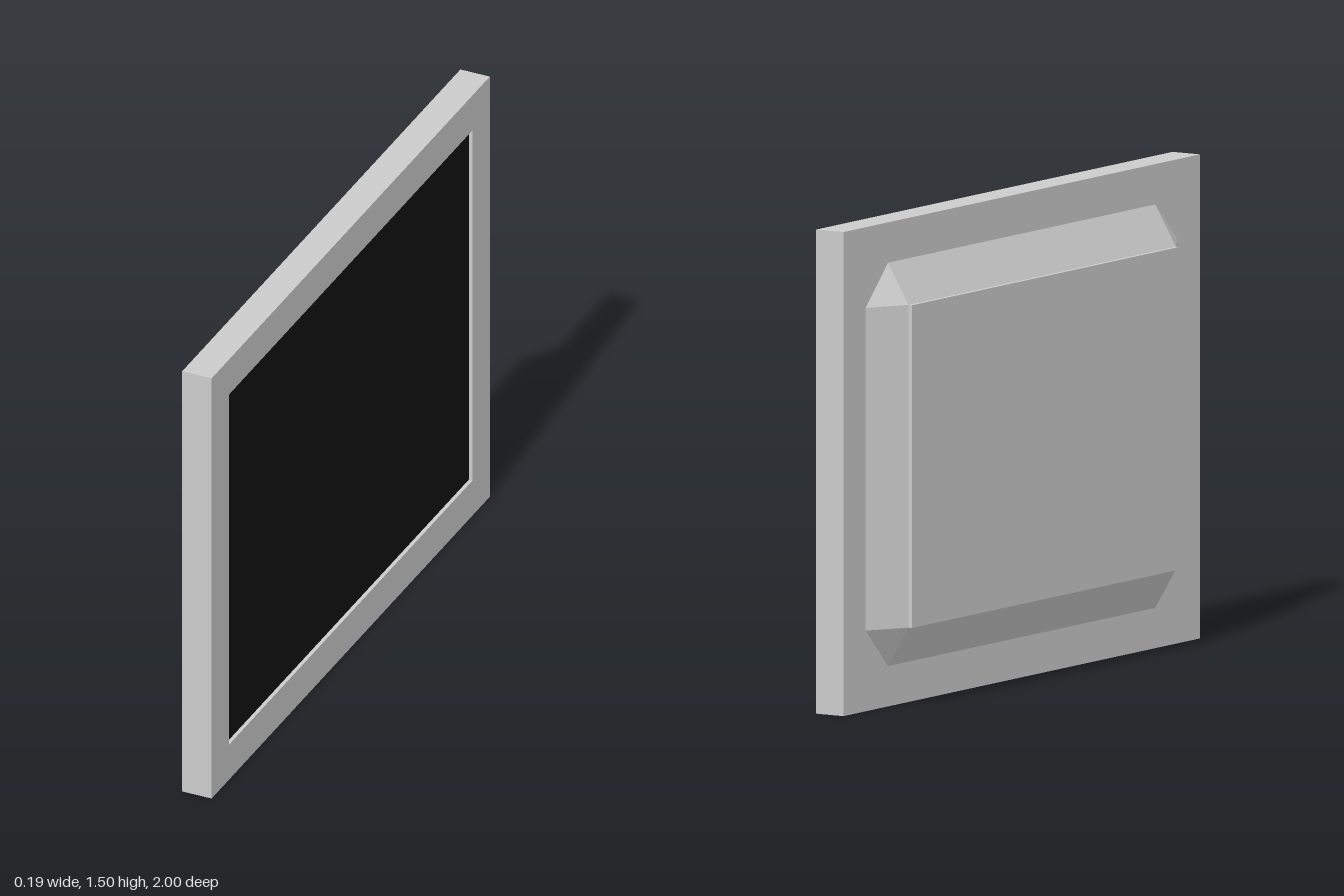
import * as THREE from 'three';
import { ConvexGeometry } from 'three/addons/geometries/ConvexGeometry.js';

// x levels, from the rear plate to the front of the frame
const REAR = -0.09375, PLATE = -0.08125, BACK = -0.00625, PANEL = 0.07, SCREEN = 0.08125, FRONT = 0.09375;
const MID = 0.75; // height of the centre

export function createModel() {
  const model = new THREE.Group();
  const grey = new THREE.MeshStandardMaterial({ color: 0xcccccc, flatShading: true });
  const black = new THREE.MeshStandardMaterial({ color: 0x111111, flatShading: true });

  const add = (name, geometry, material) => {
    const mesh = new THREE.Mesh(geometry, material);
    mesh.name = name;
    model.add(mesh);
    return mesh;
  };
  // upright slab between two x levels, with given height and width along z
  const slab = (name, x0, x1, h, w, material) =>
    add(name, new THREE.BoxGeometry(x1 - x0, h, w), material).position.set((x0 + x1) / 2, MID, 0);
  const rect = (target, w, h) => {
    target.setFromPoints([[-w, -h], [w, -h], [w, h], [-w, h]].map(([x, y]) => new THREE.Vector2(x / 2, y / 2)));
    target.closePath();
    return target;
  };

  // frame around the screen
  const outline = rect(new THREE.Shape(), 2, 1.5);
  outline.holes.push(rect(new THREE.Path(), 1.75, 1.25));
  const frameGeometry = new THREE.ExtrudeGeometry(outline, { depth: FRONT - BACK, bevelEnabled: false });
  frameGeometry.rotateY(Math.PI / 2).translate(BACK, MID, 0);
  add('frame', frameGeometry, grey);

  // back panel and recessed screen fill the opening
  slab('backPanel', BACK, PANEL, 1.25, 1.75, grey);
  slab('screen', PANEL, SCREEN, 1.25, 1.75, black);

  // rear housing: octagonal base tapering to a rectangle
  const points = [];
  for (const sy of [-1, 1]) for (const sz of [-1, 1]) {
    points.push(
      new THREE.Vector3(BACK, MID + sy * 0.625, sz * 0.75),
      new THREE.Vector3(BACK, MID + sy * 0.5, sz * 0.875),
      new THREE.Vector3(PLATE, MID + sy * 0.5, sz * 0.75));
  }
  add('rearHousing', new ConvexGeometry(points), grey);
  slab('rearPlate', REAR, PLATE, 1, 1.5, grey);

  return model;
}
